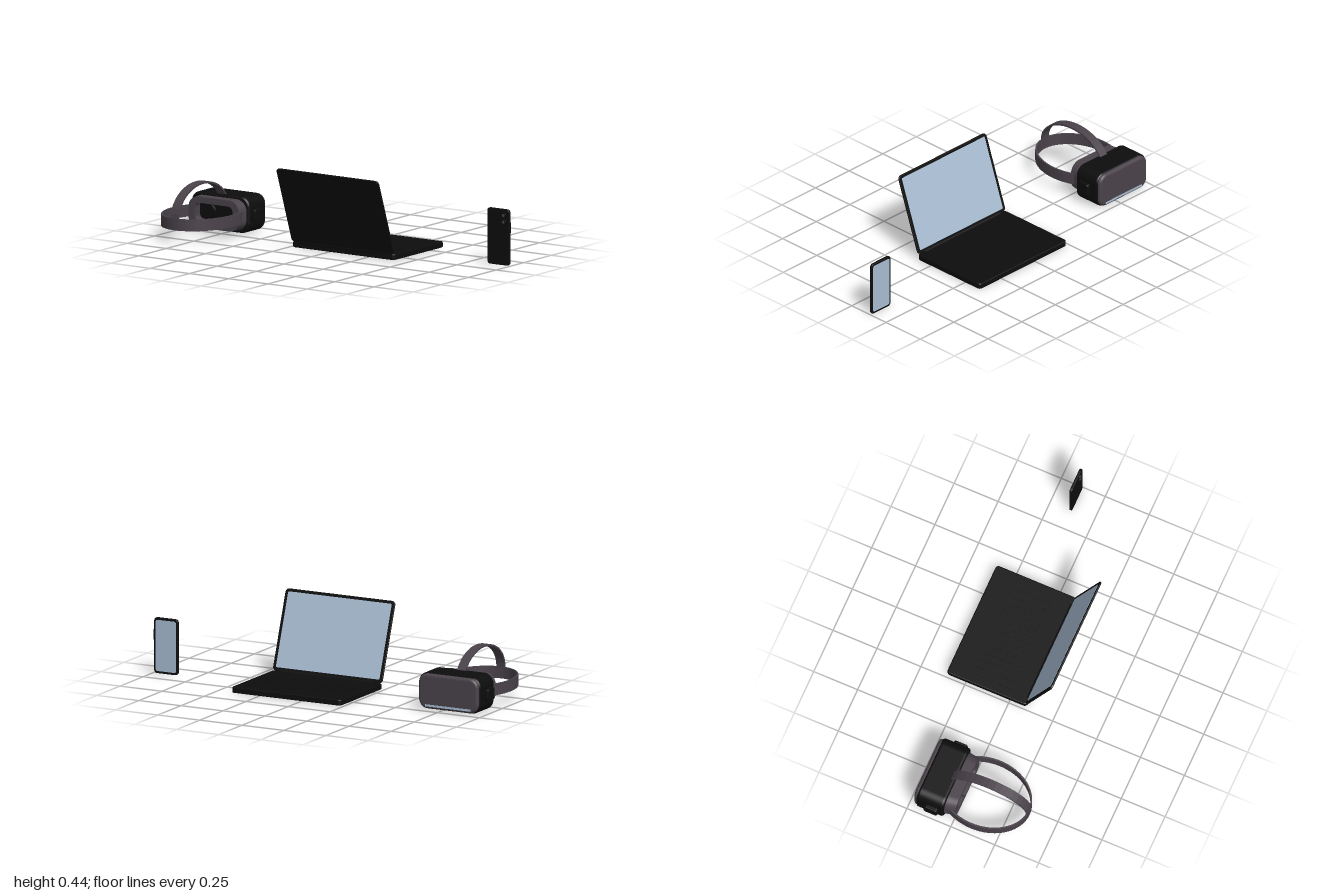
import * as THREE from 'three';

const mat = (name, color) => {
  const m = new THREE.MeshStandardMaterial({ color });
  m.name = name;
  return m;
};

// Rounded rectangle outline centred on the origin
function roundedRect(w, h, r, Type = THREE.Shape) {
  const s = new Type(), x = w / 2, y = h / 2;
  s.moveTo(-x + r, -y);
  s.lineTo(x - r, -y);
  s.absarc(x - r, -y + r, r, -Math.PI / 2, 0, false);
  s.absarc(x - r, y - r, r, 0, Math.PI / 2, false);
  s.absarc(-x + r, y - r, r, Math.PI / 2, Math.PI, false);
  s.absarc(-x + r, -y + r, r, Math.PI, Math.PI * 1.5, false);
  return s;
}

// Rounded slab with softened edges, centred on the origin, thickness along z
function slab(w, h, d, r, b) {
  const g = new THREE.ExtrudeGeometry(roundedRect(w - 2 * b, h - 2 * b, Math.max(r - b, 0.001)), {
    depth: d - 2 * b, bevelThickness: b, bevelSize: b, bevelSegments: 4, curveSegments: 8,
  });
  return g.translate(0, 0, -(d - 2 * b) / 2);
}

// Elliptical band: arc of thickness t, extruded by depth
function band(cx, cy, a, b, t, from, to, depth, n) {
  const ring = (k) => Array.from({ length: n + 1 }, (_, i) => {
    const u = from + (to - from) * i / n;
    return new THREE.Vector2(cx + (a - k) * Math.cos(u), cy + (b - k) * Math.sin(u));
  });
  const shape = new THREE.Shape([...ring(0), ...ring(t).reverse()]);
  return new THREE.ExtrudeGeometry(shape, { depth, bevelEnabled: false }).translate(0, 0, -depth / 2);
}

export function createModel() {
  const black = mat('black casing', 0x0d0d0d);
  const grey = mat('warm grey', 0x4a434a);
  const glass = mat('pale blue screen', 0xa9bdd2);
  const model = new THREE.Group();

  const group = (name, x, y, z) => {
    const g = new THREE.Group();
    g.name = name;
    g.position.set(x, y, z);
    model.add(g);
    return g;
  };
  const add = (parent, name, geo, material, x = 0, y = 0, z = 0) => {
    const m = new THREE.Mesh(geo, material);
    m.name = name;
    m.position.set(x, y, z);
    parent.add(m);
    return m;
  };

  // Laptop base, hinge and keys
  const laptop = group('laptop', 0.09, 0, 0);
  add(laptop, 'base', slab(0.65, 0.455, 0.031, 0.018, 0.005).rotateX(-Math.PI / 2), black, 0, 0.0165, -0.133);
  add(laptop, 'hinge', new THREE.CylinderGeometry(0.01, 0.01, 0.56, 16).rotateZ(Math.PI / 2), black, 0, 0.031, 0.088);
  const keyGeo = new THREE.BoxGeometry(0.036, 0.003, 0.036);
  for (let row = 0; row < 5; row++) {
    for (let col = 0; col < 13; col++) {
      if (row === 4 && col > 3 && col < 9) continue;
      add(laptop, 'key', keyGeo, black, (col - 6) * 0.043, 0.0325, -0.035 - row * 0.046);
    }
  }
  add(laptop, 'spaceBar', new THREE.BoxGeometry(0.208, 0.003, 0.036), black, 0, 0.0325, -0.219);

  // Laptop lid, leaning back towards +z
  const lid = new THREE.Group();
  lid.name = 'lid';
  lid.position.set(0, 0.031, 0.09);
  lid.rotation.x = Math.atan2(0.146, 0.41);
  laptop.add(lid);
  add(lid, 'lidPanel', slab(0.65, 0.436, 0.01, 0.02, 0.003), black, 0, 0.218, 0);
  add(lid, 'laptopScreen', slab(0.616, 0.402, 0.002, 0.006, 0.0005), glass, 0, 0.219, -0.005);

  // Phone: back faces +z, screen faces -z
  const phone = group('phone', 0.924, 0.149, -0.1335);
  add(phone, 'phoneBody', slab(0.142, 0.298, 0.015, 0.018, 0.004), black);
  add(phone, 'phoneScreen', slab(0.122, 0.274, 0.002, 0.012, 0.0005), glass, 0, 0, -0.0075);
  for (const y of [0.117, 0.081]) {
    add(phone, 'cameraRing', new THREE.CylinderGeometry(0.015, 0.016, 0.006, 24).rotateX(Math.PI / 2), black, 0.036, y, 0.009);
    add(phone, 'cameraLens', new THREE.CylinderGeometry(0.008, 0.008, 0.001, 20).rotateX(Math.PI / 2), grey, 0.036, y, 0.0122);
  }
  add(phone, 'sideButton', new THREE.BoxGeometry(0.006, 0.055, 0.006), black, 0.072, 0.055, 0);

  // Headset: visor faces -z, straps reach towards +z
  const headset = group('headset', -0.797, 0.1, 0);
  add(headset, 'headsetBody', slab(0.368, 0.194, 0.155, 0.055, 0.014), black, 0, 0, -0.13);
  add(headset, 'visor', slab(0.352, 0.186, 0.04, 0.05, 0.015), grey, 0, 0, -0.203);
  add(headset, 'lightStrip', new THREE.BoxGeometry(0.27, 0.011, 0.006), glass, 0, -0.075, -0.2215);

  // Face cushion: hollow ring with a notch for the nose
  const cushion = roundedRect(0.32, 0.164, 0.06);
  const hole = new THREE.Path();
  hole.moveTo(-0.028, -0.062);
  hole.lineTo(-0.045, -0.044);
  hole.lineTo(-0.09, -0.044);
  hole.quadraticCurveTo(-0.12, -0.044, -0.12, -0.012);
  hole.lineTo(-0.12, 0.02);
  hole.quadraticCurveTo(-0.12, 0.05, -0.09, 0.05);
  hole.lineTo(0.09, 0.05);
  hole.quadraticCurveTo(0.12, 0.05, 0.12, 0.02);
  hole.lineTo(0.12, -0.012);
  hole.quadraticCurveTo(0.12, -0.044, 0.09, -0.044);
  hole.lineTo(0.045, -0.044);
  hole.lineTo(0.028, -0.062);
  hole.closePath();
  cushion.holes.push(hole);
  const cushionGeo = new THREE.ExtrudeGeometry(cushion, { depth: 0.067, bevelEnabled: false, curveSegments: 10 });
  // Flare towards the body
  const p = cushionGeo.attributes.position;
  for (let i = 0; i < p.count; i++) {
    if (p.getZ(i) < 0.01) p.setX(i, p.getX(i) * 1.07);
  }
  cushionGeo.computeVertexNormals();
  add(headset, 'faceCushion', cushionGeo, grey, 0, 0, -0.062);

  // Lenses and strap mounts, mirrored
  for (const s of [-1, 1]) {
    add(headset, 'lens', new THREE.CylinderGeometry(0.034, 0.038, 0.016, 24).rotateX(Math.PI / 2), black, s * 0.06, 0.003, -0.048);
    add(headset, 'strapMount', slab(0.075, 0.062, 0.03, 0.012, 0.004).rotateY(Math.PI / 2), black, s * 0.188, 0, -0.118);
  }

  // Strap around the head and strap over the top
  const around = band(0, 0.11, 0.193, 0.25, 0.009, -0.75, Math.PI + 0.75, 0.062, 40);
  add(headset, 'headStrap', around.rotateX(Math.PI / 2), grey);
  const over = band(-0.13, 0.03, 0.228, 0.162, 0.009, 0.3, Math.PI, 0.05, 18);
  add(headset, 'topStrap', over.rotateY(Math.PI / 2), grey);

  return model;
}
